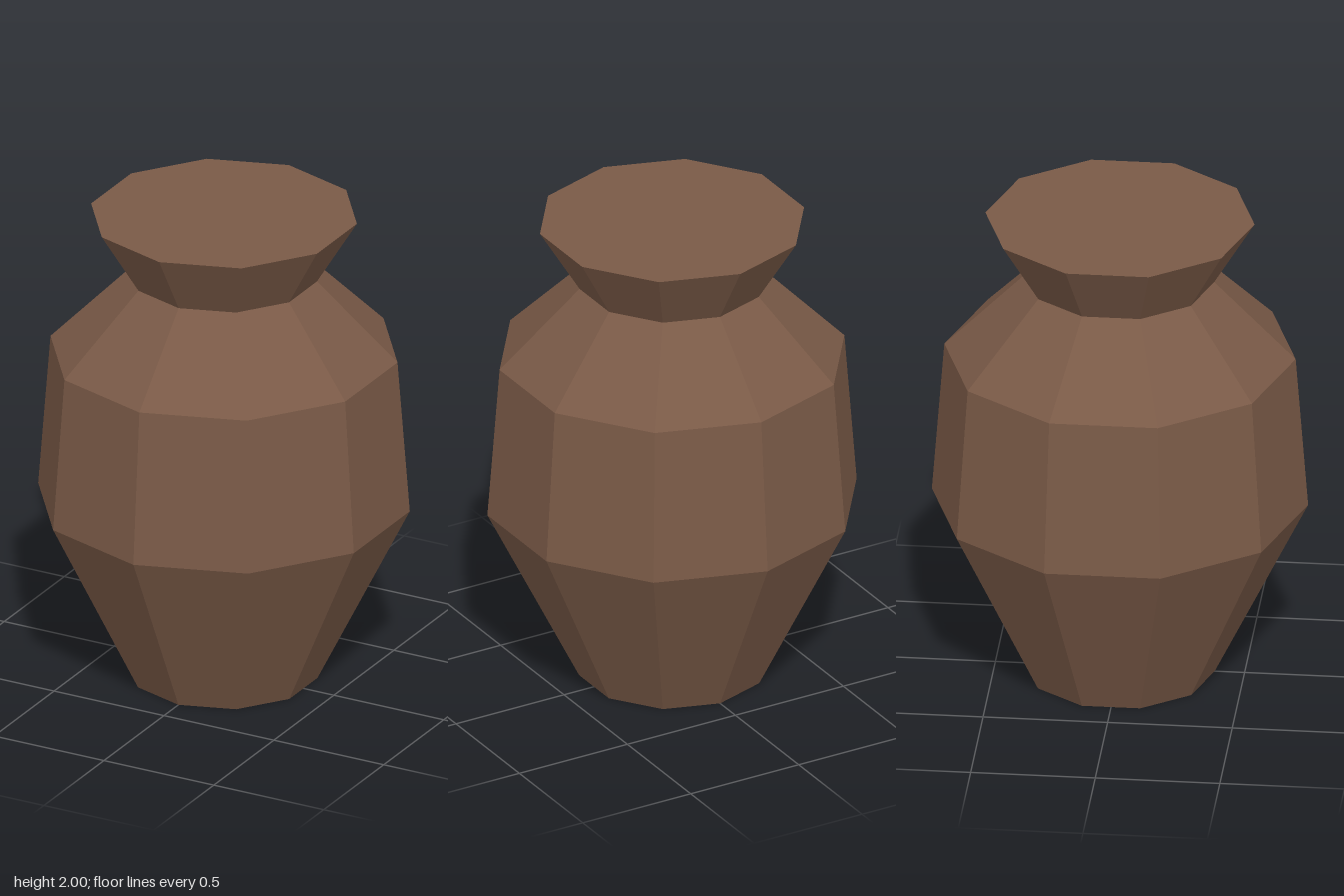
import * as THREE from 'three';

const SIDES = 10;

// Faceted ring of revolution from [radius, height] pairs, listed bottom to top
function facetedLathe(name, profile, material) {
  const points = profile.map(([r, y]) => new THREE.Vector2(r, y));
  const geometry = new THREE.LatheGeometry(points, SIDES).toNonIndexed();
  geometry.computeVertexNormals();
  const mesh = new THREE.Mesh(geometry, material);
  mesh.name = name;
  return mesh;
}

// Flat ten-sided disc, facing up or down
function cap(name, radius, y, up, material) {
  const geometry = new THREE.CircleGeometry(radius, SIDES, Math.PI / 2);
  geometry.rotateX(up ? -Math.PI / 2 : Math.PI / 2);
  // a corner points to the front
  if (up) geometry.rotateY(Math.PI);
  geometry.translate(0, y, 0);
  const mesh = new THREE.Mesh(geometry, material);
  mesh.name = name;
  return mesh;
}

export function createModel() {
  const clay = new THREE.MeshStandardMaterial({ color: 0x7a5a47, flatShading: true });
  clay.name = 'brown clay';

  const vase = new THREE.Group();
  vase.name = 'vase';
  vase.add(
    // tapered foot, belly and sloping shoulder
    facetedLathe('body', [[0.38, 0], [0.755, 0.76], [0.705, 1.407], [0.378, 1.735]], clay),
    // flared neck
    facetedLathe('neck', [[0.378, 1.735], [0.54, 2]], clay),
    // closed ends
    cap('base', 0.38, 0, false, clay),
    cap('top', 0.54, 2, true, clay),
  );
  return vase;
}
